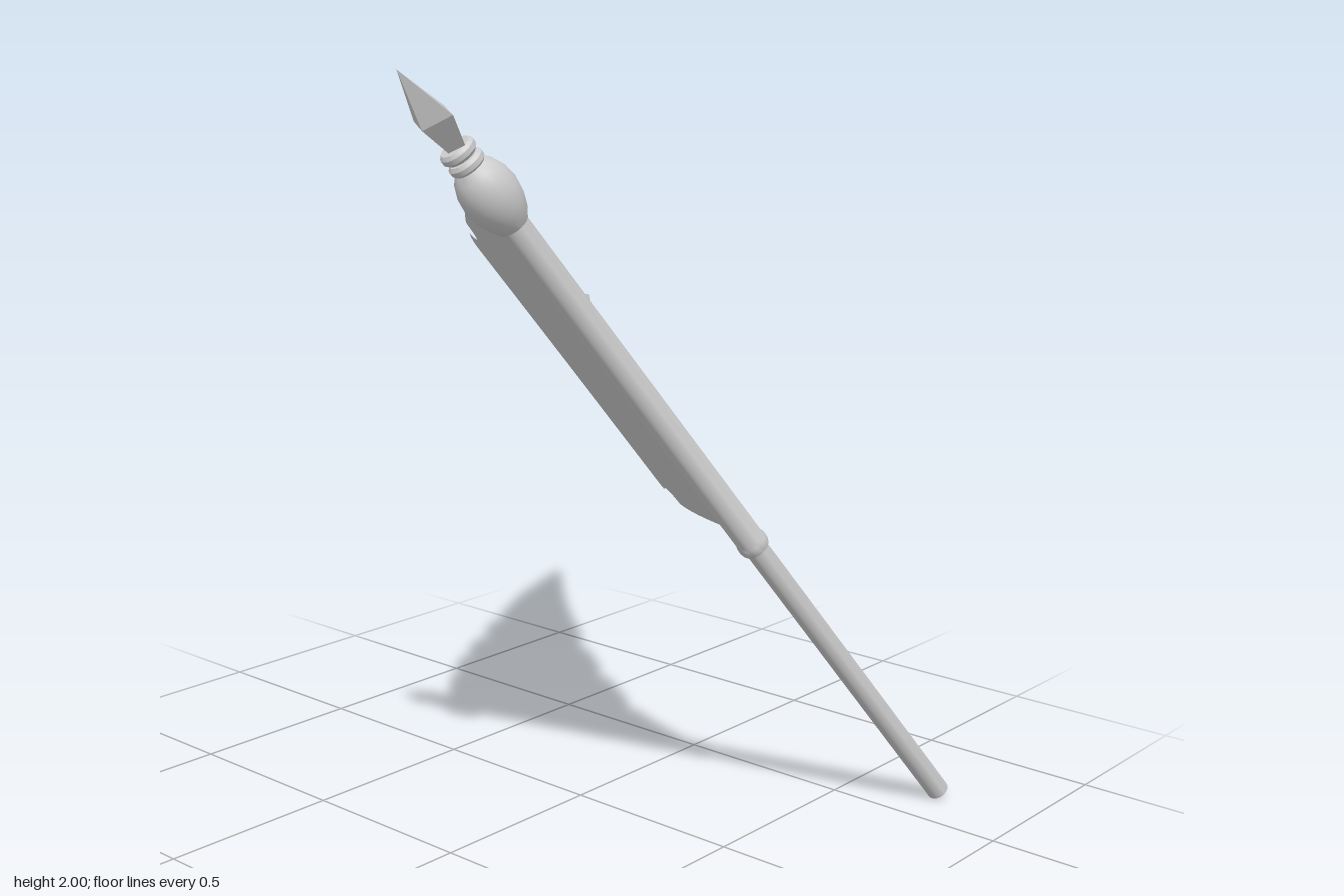
import * as THREE from 'three';
import { toCreasedNormals } from 'three/addons/utils/BufferGeometryUtils.js';

const V = (x, y, z) => new THREE.Vector3(x, y, z);

export function createModel() {
  const model = new THREE.Group();
  model.name = 'pennant';
  const grey = new THREE.MeshStandardMaterial({ color: 0xcccccc, side: THREE.DoubleSide });
  grey.name = 'light grey';
  const add = (parent, name, geometry) => {
    const mesh = new THREE.Mesh(geometry, grey);
    mesh.name = name;
    parent.add(mesh);
  };

  // Staff group: local y runs from the butt to the spear tip
  const foot = V(0.655, 0.019, 0.735), tip = V(-0.895, 2, 0.285);
  const dir = tip.clone().sub(foot).normalize();
  const zAxis = V(0, 0, 1).addScaledVector(dir, -dir.z).normalize();
  const xAxis = dir.clone().cross(zAxis);
  const staff = new THREE.Group();
  staff.name = 'staff';
  staff.quaternion.setFromRotationMatrix(new THREE.Matrix4().makeBasis(xAxis, dir, zAxis));
  staff.position.copy(foot);
  model.add(staff);

  // Turned parts from [radius, height] profiles
  const turned = (name, profile) => add(staff, name, toCreasedNormals(
    new THREE.LatheGeometry(profile.map(p => new THREE.Vector2(...p)), 24), 0.6));
  turned('pole', [[0, 0], [0.03, 0], [0.03, 1.05], [0, 1.05]]);
  turned('sleeve', [[0, 1.02], [0.037, 1.02], [0.04, 1.03], [0.04, 1.045], [0.037, 1.055],
    [0.036, 2.15], [0, 2.15]]);
  turned('bulb', [[0, 2.11], [0.038, 2.11], [0.053, 2.135], [0.064, 2.165], [0.069, 2.2],
    [0.065, 2.235], [0.053, 2.265], [0.036, 2.285], [0, 2.285]]);
  for (const y of [2.28, 2.312]) {
    turned('collarRing', [[0, y], [0.036, y], [0.043, y + 0.008], [0.043, y + 0.02],
      [0.036, y + 0.028], [0, y + 0.028]]);
  }

  // Four-sided spear head, wider across z than x
  const blade = (name, top, bottom, y0, y1) => add(staff, name, toCreasedNormals(
    new THREE.CylinderGeometry(top, bottom, y1 - y0, 4).scale(0.042, 1, 0.07)
      .translate(0, (y0 + y1) / 2, 0), 0.1));
  blade('spearBase', 1, 0.48, 2.33, 2.42);
  blade('spearPoint', 0, 1, 2.42, 2.554);

  // Flag: straight rulings between two curved edges that meet at the tip
  const end = V(0.885, 1.22, -0.76);
  const upper = new THREE.CatmullRomCurve3([V(-0.69, 1.765, 0.275), V(-0.458, 1.622, 0.045),
    V(-0.262, 1.532, -0.114), V(-0.045, 1.452, -0.257), V(0.167, 1.389, -0.395),
    V(0.53, 1.297, -0.605), end]);
  const lower = new THREE.CatmullRomCurve3([V(0.035, 0.833, 0.525), V(0.124, 0.849, 0.241),
    V(0.257, 0.902, 0.003), V(0.394, 0.96, -0.204), V(0.52, 1.035, -0.365),
    V(0.65, 1.1, -0.525), end]);
  // Torn notches: [start, width] along each edge
  const upperNotches = [[1, 0.36], [2, 0.36], [3, 0.36], [4, 0.22]];
  const lowerNotches = [[1, 0.36], [2, 0.36], [3, 0.45]];
  const bite = (u, notches) => {
    for (const [start, width] of notches) {
      const f = (u - start) / width;
      if (f > 0 && f < 1) return 0.042 * Math.sin(Math.PI * Math.pow(f, 0.55));
    }
    return 0;
  };
  const spans = 6, perSpan = 50, rows = 6, columns = spans * perSpan;
  const positions = [], index = [];
  for (let i = 0; i <= columns; i++) {
    const u = i / perSpan, a = upper.getPoint(i / columns), b = lower.getPoint(i / columns);
    const across = b.clone().sub(a).normalize();
    a.addScaledVector(across, bite(u, upperNotches));
    b.addScaledVector(across, -bite(u, lowerNotches));
    for (let j = 0; j <= rows; j++) positions.push(...a.clone().lerp(b, j / rows).toArray());
  }
  for (let i = 0; i < columns; i++) {
    for (let j = 0; j < rows; j++) {
      const p = i * (rows + 1) + j, q = p + rows + 1;
      index.push(p, p + 1, q);
      if (i < columns - 1) index.push(p + 1, q + 1, q);
    }
  }
  const cloth = new THREE.BufferGeometry();
  cloth.setAttribute('position', new THREE.Float32BufferAttribute(positions, 3));
  cloth.setIndex(index);
  cloth.computeVertexNormals();
  add(model, 'flag', cloth);

  return model;
}
